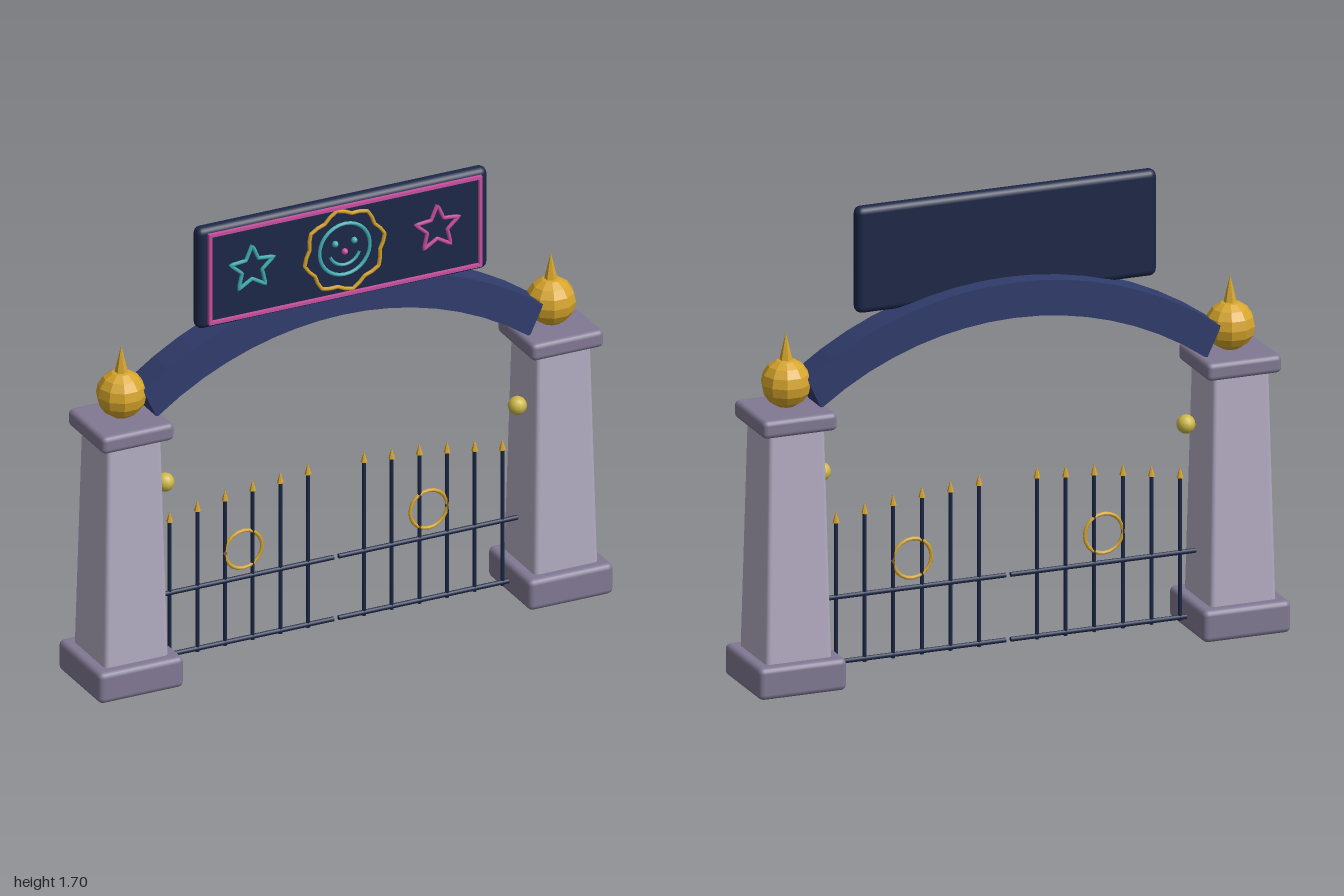
import * as THREE from 'three';
import { RoundedBoxGeometry } from 'three/addons/geometries/RoundedBoxGeometry.js';

function makeMaterial(name, color) {
  const m = new THREE.MeshStandardMaterial({ color });
  m.name = name;
  return m;
}

// Facet a geometry so every face is flat
function faceted(geometry) {
  const g = geometry.index ? geometry.toNonIndexed() : geometry;
  g.computeVertexNormals();
  return g;
}

export function createModel() {
  const stone = makeMaterial('pale stone', 0xb5aec4);
  const trim = makeMaterial('stone trim', 0x817993);
  const gold = makeMaterial('gold', 0xd6a52c);
  const lampYellow = makeMaterial('lamp yellow', 0xcdb848);
  const blue = makeMaterial('arch blue', 0x303c6c);
  const navy = makeMaterial('navy', 0x1c2747);
  const teal = makeMaterial('teal', 0x3fb0b4);
  const pink = makeMaterial('pink', 0xc9509f);

  const model = new THREE.Group();
  model.name = 'archedGate';

  function add(parent, name, geometry, material, x = 0, y = 0, z = 0) {
    const mesh = new THREE.Mesh(geometry, material);
    mesh.name = name;
    mesh.position.set(x, y, z);
    parent.add(mesh);
    return mesh;
  }

  // Tapered shaft with softened edges
  const shaft = new RoundedBoxGeometry(0.25, 0.87, 0.25, 2, 0.018);
  const p = shaft.attributes.position;
  for (let i = 0; i < p.count; i++) {
    const k = 1 - 0.16 * (p.getY(i) / 0.87 + 0.5);
    p.setX(i, p.getX(i) * k);
    p.setZ(i, p.getZ(i) * k);
  }
  const base = new RoundedBoxGeometry(0.33, 0.117, 0.33, 2, 0.02);
  const cap = new RoundedBoxGeometry(0.28, 0.065, 0.28, 2, 0.018);
  const ball = faceted(new THREE.SphereGeometry(0.089, 10, 8));
  const spike = faceted(new THREE.ConeGeometry(0.029, 0.125, 6));
  const lamp = new THREE.SphereGeometry(0.034, 12, 8);

  // Gate parts
  const rail = new THREE.CylinderGeometry(0.009, 0.009, 0.695, 8);
  rail.rotateZ(Math.PI / 2);
  const barTip = faceted(new THREE.ConeGeometry(0.012, 0.042, 6));
  const ring = new THREE.TorusGeometry(0.072, 0.007, 6, 20);
  const tipHeights = [0.675, 0.665, 0.658, 0.643, 0.626, 0.606];

  for (const s of [-1, 1]) {
    const side = s > 0 ? 'left' : 'right';
    const pillar = new THREE.Group();
    pillar.name = side + 'Pillar';
    pillar.position.x = s * 0.835;
    model.add(pillar);
    add(pillar, 'pillarBase', base, trim, 0, 0.0595, 0);
    add(pillar, 'pillarShaft', shaft, stone, 0, 0.535, 0);
    add(pillar, 'pillarCap', cap, trim, 0, 0.982, 0);
    add(pillar, 'finialBall', ball, gold, 0, 1.102, 0);
    add(pillar, 'finialSpike', spike, gold, 0, 1.224, 0);
    add(pillar, 'lamp', lamp, lampYellow, -s * 0.15, 0.744, 0.04);

    const gate = new THREE.Group();
    gate.name = side + 'Gate';
    model.add(gate);
    for (const y of [0.052, 0.29]) add(gate, 'rail', rail, navy, s * 0.357, y, 0);
    tipHeights.forEach((top, i) => {
      const x = s * (0.109 + i * 0.1075);
      const height = top - 0.04 - 0.04;
      add(gate, 'bar', new THREE.CylinderGeometry(0.007, 0.007, height, 6), navy, x, 0.04 + height / 2, 0);
      add(gate, 'barTip', barTip, gold, x, top - 0.021, 0);
    });
    add(gate, 'gateRing', ring, gold, s * 0.36, 0.397, 0);
  }

  // Arch: outer curve one way, inner curve back
  const archShape = new THREE.Shape();
  const steps = 16;
  for (let i = 0; i <= steps; i++) {
    const x = -0.778 + (1.556 * i) / steps;
    const y = 0.08 + Math.sqrt(1.69 - x * x);
    if (i === 0) archShape.moveTo(x, y);
    else archShape.lineTo(x, y);
  }
  for (let i = 0; i <= steps; i++) {
    const x = 0.725 - (1.45 * i) / steps;
    archShape.lineTo(x, 0.035 + Math.sqrt(1.215 * 1.215 - x * x));
  }
  const archGeometry = new THREE.ExtrudeGeometry(archShape, { depth: 0.114, bevelEnabled: false });
  add(model, 'arch', archGeometry, blue, 0, 0, -0.057);

  // Sign board and its glowing line work
  const sign = new THREE.Group();
  sign.name = 'sign';
  sign.position.set(0, 1.505, 0);
  model.add(sign);
  add(sign, 'signBoard', new RoundedBoxGeometry(1.13, 0.39, 0.054, 3, 0.025), navy, -0.003, 0, 0.037);

  const front = 0.068;
  for (const s of [-1, 1]) {
    add(sign, 'frameRail', new THREE.BoxGeometry(1.06, 0.011, 0.02), pink, 0, s * 0.169, front);
    add(sign, 'framePost', new THREE.BoxGeometry(0.011, 0.349, 0.02), pink, s * 0.525, 0, front);
  }

  // Closed tube through a ring of points whose radius follows a rule
  function outline(name, count, radiusAt, material, x, y) {
    const path = new THREE.CurvePath();
    const points = [];
    for (let i = 0; i < count; i++) {
      const a = Math.PI / 2 + (i / count) * Math.PI * 2;
      const r = radiusAt(i);
      points.push(new THREE.Vector3(Math.cos(a) * r, Math.sin(a) * r, 0));
    }
    points.forEach((pt, i) => path.add(new THREE.LineCurve3(pt, points[(i + 1) % count])));
    add(sign, name, new THREE.TubeGeometry(path, count * 6, 0.007, 6, true), material, x, y, front);
  }
  const starRadius = (i) => (i % 2 ? 0.041 : 0.089);
  outline('tealStar', 10, starRadius, teal, -0.36, 0.008);
  outline('pinkStar', 10, starRadius, pink, 0.36, 0.008);
  outline('sunRays', 32, (i) => 0.149 - 0.01 * Math.cos((i / 32) * Math.PI * 16 + Math.PI / 2), gold, 0, 0);

  // Smiling face
  add(sign, 'faceRing', new THREE.TorusGeometry(0.098, 0.007, 6, 28), teal, 0, 0.004, front);
  const smile = new THREE.TorusGeometry(0.06, 0.006, 6, 14, Math.PI * 0.8);
  smile.rotateZ(Math.PI * 1.1);
  add(sign, 'smile', smile, teal, 0, 0.004, front);
  const dot = new THREE.SphereGeometry(0.012, 8, 6);
  for (const s of [-1, 1]) add(sign, 'eye', dot, teal, s * 0.037, 0.03, front);
  add(sign, 'nose', dot, pink, 0, -0.006, front);

  return model;
}
